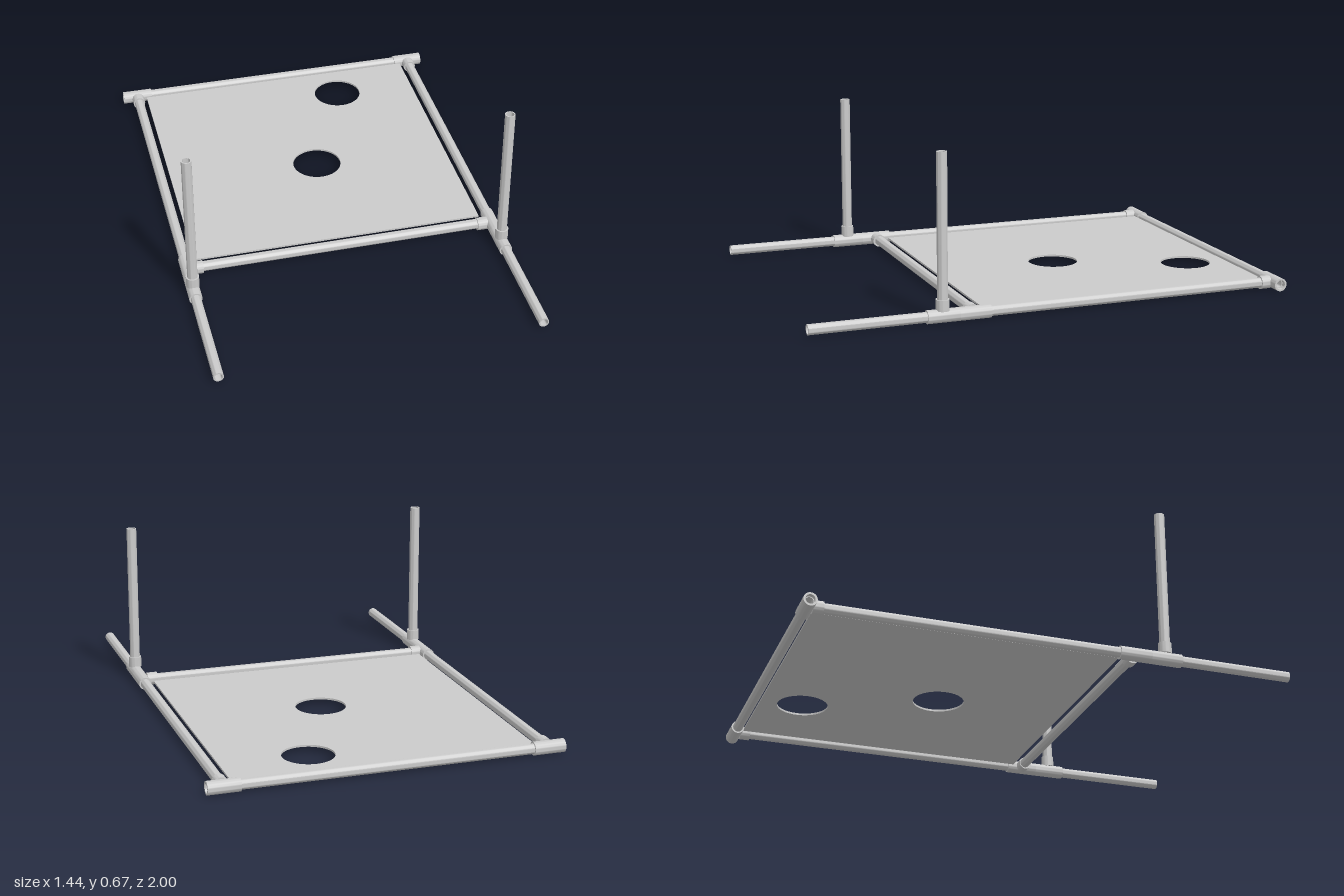
import * as THREE from 'three';
import { toCreasedNormals } from 'three/addons/utils/BufferGeometryUtils.js';

const PIPE_R = 0.021, BORE_R = 0.016, FIT_R = 0.027;
const AXIS_Y = 0.028;            // height of the pipe axes
const RAIL_X = 0.655, BACK_Z = -0.973, CROSS_Z = 0.332, POST_Z = 0.465;

const material = new THREE.MeshStandardMaterial({ color: 0xcccccc });
const v = (x, y, z) => new THREE.Vector3(x, y, z);

// Hollow pipe with flat ring ends running from a to b
function pipe(name, a, b, outer = PIPE_R, inner = BORE_R) {
  const h = a.distanceTo(b) / 2;
  const profile = [[outer, -h], [outer, h], [inner, h], [inner, -h], [outer, -h]]
    .map(([r, y]) => new THREE.Vector2(r, y));
  const geometry = toCreasedNormals(new THREE.LatheGeometry(profile, 32), 0.7);
  const mesh = new THREE.Mesh(geometry, material);
  mesh.name = name;
  mesh.position.addVectors(a, b).multiplyScalar(0.5);
  mesh.quaternion.setFromUnitVectors(v(0, 1, 0), b.clone().sub(a).normalize());
  return mesh;
}

// T-shaped fitting: a straight sleeve plus a side socket
function tee(name, center, runDir, branchDir, branchLength) {
  const group = new THREE.Group();
  group.name = name;
  const at = (dir, d) => center.clone().addScaledVector(dir, d);
  group.add(
    pipe('sleeve', at(runDir, -0.065), at(runDir, 0.065), FIT_R, PIPE_R - 0.002),
    pipe('socket', at(branchDir, PIPE_R), at(branchDir, branchLength), FIT_R, PIPE_R - 0.002)
  );
  return group;
}

// Thin square panel with two round holes
function panel() {
  const shape = new THREE.Shape();
  const x = 0.615, front = 0.285, back = -0.945, t = 0.008;
  shape.moveTo(-x, -front).lineTo(x, -front).lineTo(x, -back).lineTo(-x, -back).closePath();
  for (const [hx, hz] of [[0.26, -0.77], [0.035, -0.25]]) {
    shape.holes.push(new THREE.Path().absarc(hx, -hz, 0.105, 0, Math.PI * 2, true));
  }
  const geometry = new THREE.ExtrudeGeometry(shape, { depth: t, bevelEnabled: false, curveSegments: 32 });
  geometry.rotateX(-Math.PI / 2);
  const mesh = new THREE.Mesh(geometry, material);
  mesh.name = 'targetPanel';
  mesh.position.y = AXIS_Y - t / 2;
  return mesh;
}

export function createModel() {
  const model = new THREE.Group();
  model.name = 'pipeFrameWithPanel';
  model.add(panel());

  // Cross pipes at the back and in front of the panel
  model.add(
    pipe('backCrossPipe', v(-0.7, AXIS_Y, BACK_Z), v(0.7, AXIS_Y, BACK_Z)),
    pipe('frontCrossPipe', v(-0.63, AXIS_Y, CROSS_Z), v(0.63, AXIS_Y, CROSS_Z))
  );

  for (const [side, s] of [['left', 1], ['right', -1]]) {
    const x = s * RAIL_X;
    const alongX = v(1, 0, 0), alongZ = v(0, 0, 1), up = v(0, 1, 0), inward = v(-s, 0, 0);

    // Side rail and upright post
    model.add(
      pipe(side + 'Rail', v(x, AXIS_Y, -0.952), v(x, AXIS_Y, 1)),
      pipe(side + 'Post', v(x, 0.048, POST_Z), v(x, 0.67, POST_Z))
    );

    // Fittings joining the rail to the cross pipes and the post
    model.add(
      tee(side + 'BackTee', v(x, AXIS_Y, BACK_Z), alongX, alongZ, 0.062),
      tee(side + 'CrossTee', v(x, AXIS_Y, CROSS_Z + 0.003), alongZ, inward, 0.065),
      tee(side + 'PostTee', v(x, AXIS_Y, POST_Z), alongZ, up, 0.066)
    );
  }
  return model;
}
